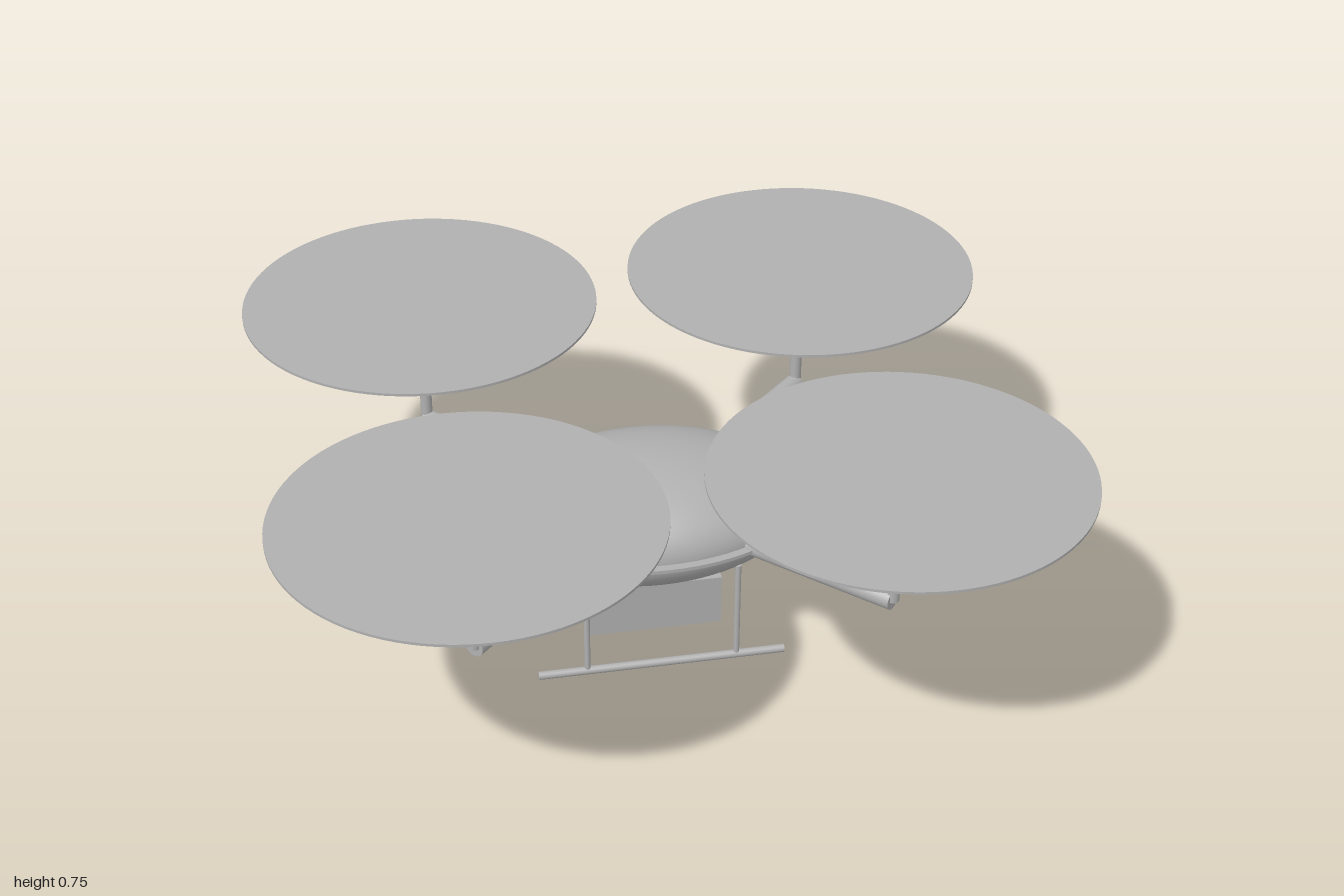
import * as THREE from 'three';

export function createModel() {
  const grey = new THREE.MeshStandardMaterial({ color: 0xb0b0b0 });
  grey.name = 'grey';
  const model = new THREE.Group();
  model.name = 'quadcopter';

  const add = (name, geometry, x, y, z, parent = model) => {
    const mesh = new THREE.Mesh(geometry, grey);
    mesh.name = name;
    mesh.position.set(x, y, z);
    parent.add(mesh);
    return mesh;
  };
  const rod = (r, h, sides = 32) => new THREE.CylinderGeometry(r, r, h, sides);

  // Ellipsoid hull with a thin elliptical rim around its middle
  const midY = 0.37;
  add('hull', new THREE.SphereGeometry(1, 64, 40).scale(0.412, 0.163, 0.286), 0, midY, 0);
  add('rim', rod(1, 0.01, 80).scale(0.433, 1, 0.308), 0, midY, 0);

  // Four diagonal arms, each with a mast, a motor and a rotor disc
  const reach = 0.525;
  const armLength = reach * Math.SQRT2 - 0.15;
  for (const sx of [-1, 1]) {
    for (const sz of [-1, 1]) {
      const unit = new THREE.Group();
      unit.name = `${sz > 0 ? 'front' : 'back'}${sx > 0 ? 'Left' : 'Right'}Rotor`;
      model.add(unit);
      const outward = new THREE.Vector3(sx, 0, sz).normalize();
      const centre = outward.clone().multiplyScalar(0.15 + armLength / 2);
      const arm = add('arm', rod(0.027, armLength), centre.x, midY, centre.z, unit);
      arm.quaternion.setFromUnitVectors(new THREE.Vector3(0, 1, 0), outward);
      const x = sx * reach, z = sz * reach;
      add('mast', rod(0.016, 0.32), x, 0.53, z, unit);
      add('motor', rod(0.063, 0.058, 40), x, 0.709, z, unit);
      add('rotorDisc', rod(0.475, 0.007, 96), x, 0.7415, z, unit);
    }
  }

  // Landing gear: a skid on each side carried by two legs
  for (const sz of [-1, 1]) {
    const z = sz * 0.217;
    add('skid', rod(0.011, 0.66, 20).rotateZ(Math.PI / 2), 0, 0.011, z);
    for (const sx of [-1, 1]) add('leg', rod(0.008, 0.289, 20), sx * 0.2, 0.1555, z);
  }

  // Payload box slung under the hull
  add('payloadBox', new THREE.BoxGeometry(0.36, 0.145, 0.23), 0, 0.1175, 0);

  return model;
}
